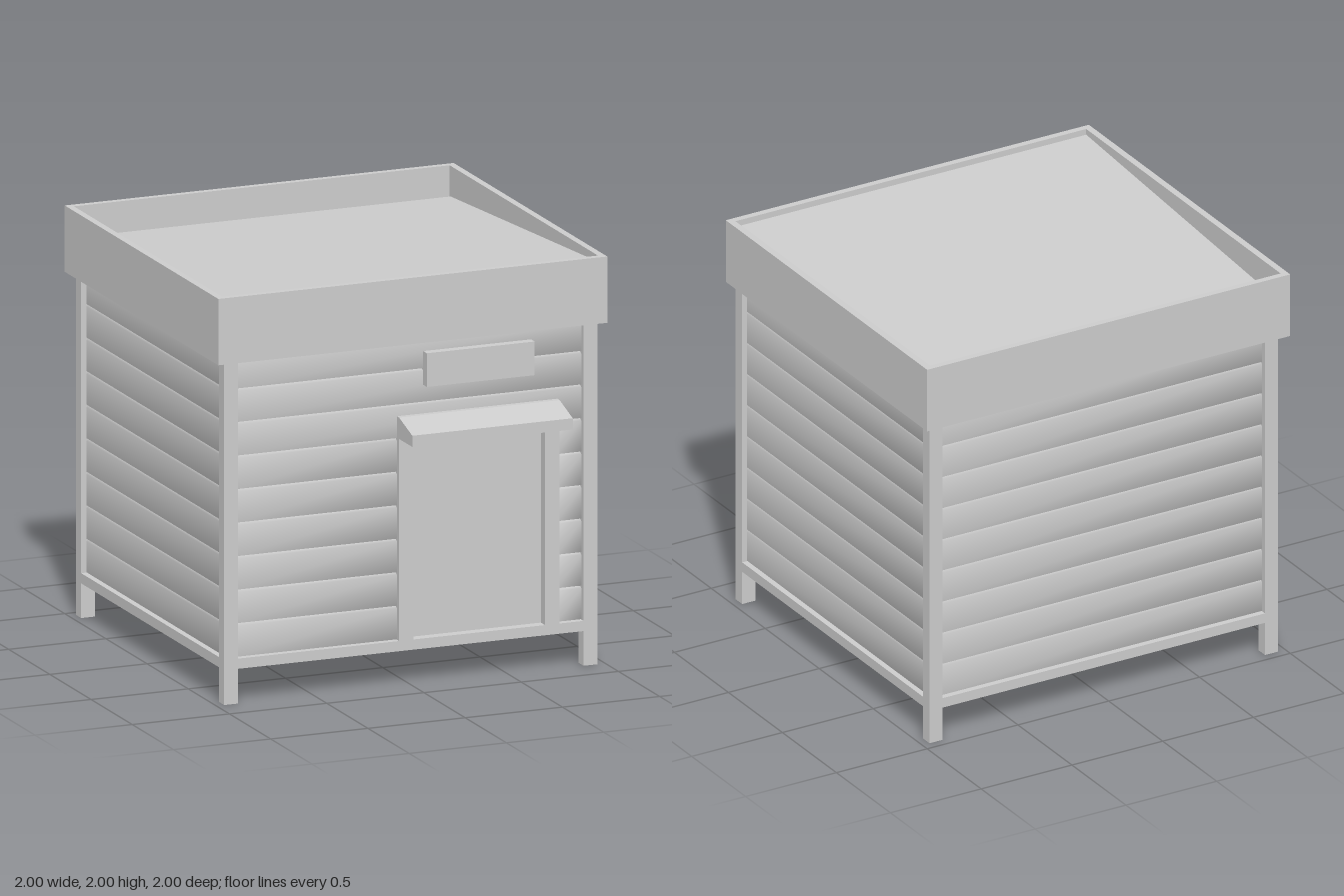
import * as THREE from 'three';
import { mergeVertices } from 'three/addons/utils/BufferGeometryUtils.js';

const material = new THREE.MeshStandardMaterial({ color: 0xcccccc });

// Plan limits of the frame
const X = 0.96, ZF = 0.84, ZB = -0.955;
const POST_W = 0.072, POST_D = 0.06;
const RAIL_Y0 = 0.17, RAIL_Y1 = 0.22;
const PITCH = 0.1643, BOARD_Y0 = 0.222;

export function createModel() {
  const model = new THREE.Group();
  model.name = 'shed';

  const add = (name, geometry, parent = model) => {
    const mesh = new THREE.Mesh(geometry, material);
    mesh.name = name;
    parent.add(mesh);
    return mesh;
  };
  // Box given by its limits
  const box = (name, x0, x1, y0, y1, z0, z1, parent) => {
    const mesh = add(name, new THREE.BoxGeometry(x1 - x0, y1 - y0, z1 - z0), parent);
    mesh.position.set((x0 + x1) / 2, (y0 + y1) / 2, (z0 + z1) / 2);
    return mesh;
  };
  // Outline in (z, y) extruded along x from x0 to x1
  const extrudeX = (points, x0, x1) => {
    const shape = new THREE.Shape(points.map(([z, y]) => new THREE.Vector2(-z, y)));
    const g = new THREE.ExtrudeGeometry(shape, { depth: x1 - x0, bevelEnabled: false });
    return g.rotateY(Math.PI / 2).translate(x0, 0, 0);
  };

  // Softly shaded cladding board with a sloping top lip, outer face at z = 0
  const boardGeometry = (x0, x1) => {
    const lip = PITCH - 0.013;
    let g = extrudeX([[-0.04, 0], [0, 0], [0, lip], [-0.02, PITCH], [-0.04, PITCH]], x0, x1);
    g.deleteAttribute('normal');
    g.deleteAttribute('uv');
    g = mergeVertices(g);
    g.computeVertexNormals();
    return g;
  };
  // Rows of boards on a wall, from row r0 up to r1
  const cladding = (wall, x0, x1, r0, r1) => {
    const g = boardGeometry(x0, x1);
    for (let r = r0; r < r1; r++) add('claddingBoard', g, wall).position.y = BOARD_Y0 + r * PITCH;
  };
  const wallGroup = (name, x, z, turn) => {
    const wall = new THREE.Group();
    wall.name = name;
    wall.position.set(x, 0, z);
    wall.rotation.y = turn;
    model.add(wall);
    return wall;
  };

  // Corner posts, running down to the feet
  for (const s of [-1, 1]) {
    const xa = Math.min(s * X, s * (X - POST_W)), xb = xa + POST_W;
    box('frontPost', xa, xb, 0, 1.8, ZF - POST_D, ZF);
    box('backPost', xa, xb, 0, 1.8, ZB, ZB + POST_D);
    // Side bottom rails
    box('sideRail', xa, xb, RAIL_Y0, RAIL_Y1, ZB + POST_D, ZF - POST_D);
  }
  const xi = X - POST_W;
  box('frontRail', -xi, xi, RAIL_Y0, RAIL_Y1, ZF - POST_D, ZF);
  box('backRail', -xi, xi, RAIL_Y0, RAIL_Y1, ZB, ZB + POST_D);
  box('floor', -xi, xi, RAIL_Y0, RAIL_Y1 - 0.01, ZB + POST_D, ZF - POST_D);

  // Clad walls, set back a little from the frame
  const recess = 0.027;
  const front = wallGroup('frontWall', 0, ZF - recess, 0);
  cladding(front, -xi, -0.06, 0, 6);
  cladding(front, 0.765, xi, 0, 6);
  cladding(front, -xi, xi, 6, 9);
  cladding(wallGroup('backWall', 0, ZB + recess, Math.PI), -xi, xi, 0, 9);
  const zMid = (ZF + ZB) / 2, half = (ZF - ZB) / 2 - POST_D;
  for (const s of [-1, 1]) {
    const side = wallGroup(s > 0 ? 'leftWall' : 'rightWall', s * (X - recess), zMid, s * Math.PI / 2);
    cladding(side, -half, half, 0, 9);
  }

  // Doorway
  box('doorJamb', -0.06, 0.015, RAIL_Y1, 1.215, ZF - POST_D, ZF);
  box('doorJamb', 0.69, 0.765, RAIL_Y1, 1.215, ZF - POST_D, ZF);
  box('door', 0.015, 0.69, RAIL_Y1, 1.215, 0.765, 0.79);
  add('doorCanopy', extrudeX([[0.8, 1.21], [1, 1.21], [1, 1.265], [0.84, 1.315], [0.8, 1.315]], -0.06, 0.765));
  box('signBoard', 0.075, 0.63, 1.455, 1.62, 0.8, 0.857);

  // Parapet around the roof
  const outline = new THREE.Shape([[-1, -0.865], [1, -0.865], [1, 1], [-1, 1]].map(p => new THREE.Vector2(...p)));
  outline.holes.push(new THREE.Path([[-0.966, -0.832], [-0.966, 0.968], [0.966, 0.968], [0.966, -0.832]]
    .map(p => new THREE.Vector2(...p))));
  const parapet = new THREE.ExtrudeGeometry(outline, { depth: 0.325, bevelEnabled: false });
  add('parapet', parapet.rotateX(-Math.PI / 2).translate(0, 1.675, 0));

  // Roof sheet falling to the back, with a narrow drainage gap
  add('roof', extrudeX([[0.832, 1.95], [0.832, 1.97], [-0.957, 1.85], [-0.957, 1.83]], -0.966, 0.966));

  return model;
}
